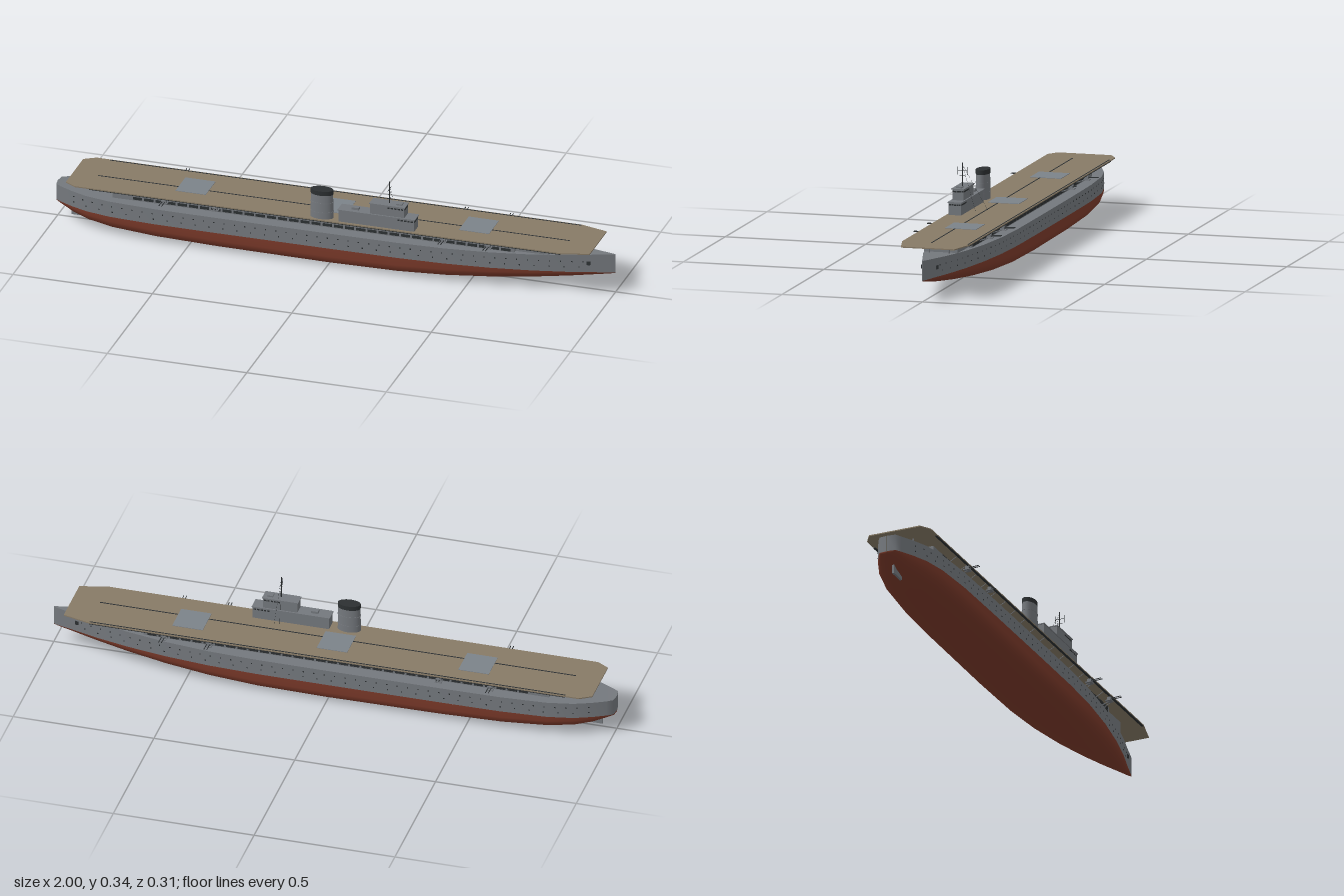
import * as THREE from 'three';

const mat = (name, color, side = THREE.FrontSide) => {
  const m = new THREE.MeshStandardMaterial({ color, side });
  m.name = name;
  return m;
};

export function createModel() {
  const ship = new THREE.Group();
  ship.name = 'aircraftCarrier';
  const grey = mat('hullGrey', 0x74787d);
  const red = mat('bottomRed', 0x7c3a2a);
  const wood = mat('deckWood', 0x877a66);
  const dark = mat('darkMetal', 0x2c3032);
  const steel = mat('liftSteel', 0x7b8289);

  const add = (name, geo, m, x = 0, y = 0, z = 0, parent = ship) => {
    const mesh = new THREE.Mesh(geo, m);
    mesh.name = name;
    mesh.position.set(x, y, z);
    parent.add(mesh);
    return mesh;
  };
  const box = (name, m, x0, x1, y0, y1, z0, z1, parent = ship) =>
    add(name, new THREE.BoxGeometry(x1 - x0, y1 - y0, z1 - z0), m,
      (x0 + x1) / 2, (y0 + y1) / 2, (z0 + z1) / 2, parent);
  // Thin round bar between two points
  const bar = (name, m, a, b, r, parent = ship, sides = 5) => {
    const A = new THREE.Vector3(...a), B = new THREE.Vector3(...b), d = B.clone().sub(A);
    const mesh = add(name, new THREE.CylinderGeometry(r, r, d.length(), sides), m, 0, 0, 0, parent);
    mesh.position.copy(A.add(B).multiplyScalar(0.5));
    mesh.quaternion.setFromUnitVectors(new THREE.Vector3(0, 1, 0), d.normalize());
    return mesh;
  };

  // Surface through rows of points, one row for each hull station
  const loft = (name, rows, m) => {
    const n = rows[0].length, idx = [];
    for (let i = 0; i < rows.length - 1; i++) for (let j = 0; j < n - 1; j++) {
      const a = i * n + j, b = a + 1, c = a + n, d = c + 1;
      idx.push(a, b, d, a, d, c);
    }
    const g = new THREE.BufferGeometry();
    g.setAttribute('position', new THREE.Float32BufferAttribute(rows.flat(2), 3));
    g.setIndex(idx);
    g.computeVertexNormals();
    return add(name, g, m);
  };

  // Hull stations: x, half width, keel height, bilge power, rail height
  const WL = 0.073;
  const stations = [
    [-1, 0.001, 0.069, 1, 0.131], [-0.996, 0.03, 0.065, 1, 0.131], [-0.975, 0.043, 0.054, 1, 0.13],
    [-0.93, 0.066, 0.034, 0.95, 0.13], [-0.87, 0.09, 0.02, 0.85, 0.13], [-0.78, 0.108, 0.01, 0.75, 0.13],
    [-0.62, 0.118, 0.005, 0.62, 0.13], [-0.4, 0.12, 0.002, 0.55, 0.13], [0, 0.12, 0, 0.52, 0.13],
    [0.25, 0.119, 0.002, 0.55, 0.13], [0.42, 0.112, 0.007, 0.65, 0.13], [0.58, 0.096, 0.016, 0.8, 0.131],
    [0.72, 0.073, 0.029, 0.95, 0.133], [0.84, 0.046, 0.044, 1.1, 0.136], [0.93, 0.02, 0.058, 1.2, 0.139],
    [0.98, 0.007, 0.067, 1.2, 0.141], [1, 0.0005, 0.072, 1.2, 0.142],
  ];
  const N = 16;
  loft('hullBottom', stations.map(([x, w, k, p]) => Array.from({ length: N + 1 }, (_, j) => {
    const t = (j / N) * Math.PI, c = Math.cos(t);
    return [x, WL - (WL - k) * Math.pow(Math.sin(t) + 1e-9, p), w * Math.sign(c) * Math.pow(Math.abs(c), p)];
  })), red);
  loft('hullSideNear', stations.map(([x, w, , , t]) => [[x, t, w], [x, WL, w]]), grey);
  loft('hullSideFar', stations.map(([x, w, , , t]) => [[x, WL, -w], [x, t, -w]]), grey);
  loft('mainDeck', stations.map(([x, w, , , t]) => [[x, t, -w], [x, t, w]]), grey);
  box('rudder', grey, -0.95, -0.885, 0.012, 0.052, -0.004, 0.004);

  // Half width of the hull at any x
  const halfWidth = x => {
    const i = Math.max(1, stations.findIndex(s => s[0] >= x));
    const [a, b] = [stations[i - 1], stations[i]];
    return THREE.MathUtils.lerp(a[1], b[1], (x - a[0]) / (b[0] - a[0]));
  };

  // Portholes in two rows
  const port = new THREE.BoxGeometry(0.004, 0.004, 0.002);
  for (const s of [1, -1]) for (const [y, step] of [[0.092, 0.05], [0.112, 0.037]])
    for (let x = -0.92; x < 0.92; x += step) add('porthole', port, dark, x, y, s * halfWidth(x));
  for (const s of [1, -1]) box('anchor', dark, 0.905, 0.917, 0.1, 0.113, s * 0.026 - 0.003, s * 0.026 + 0.003);

  // Hangar with dark bays and sloping deck braces on both sides
  box('hangarMiddle', grey, -0.78, 0.66, 0.125, 0.172, -0.073, 0.073);
  box('hangarFront', grey, 0.66, 0.78, 0.125, 0.172, -0.06, 0.06);
  for (const s of [1, -1]) {
    const side = new THREE.Group();
    side.name = s > 0 ? 'hangarSideNear' : 'hangarSideFar';
    ship.add(side);
    const z0 = s * 0.0745;
    for (let i = 0; i < 34; i++) {
      const x = -0.69 + i * 0.04;
      for (const y of [0.139, 0.153, 0.166])
        box('hangarBay', dark, x - 0.016, x + 0.016, y - 0.0045, y + 0.0045, z0 - 0.0015, z0 + 0.0015, side);
      if (i % 2 === 0) {
        bar('deckBrace', grey, [x + 0.02, 0.15, s * 0.074], [x + 0.02, 0.172, s * 0.113], 0.0015, side);
      }
    }
    box('catwalk', dark, -0.85, 0.84, 0.17, 0.1725, s * 0.116 - 0.004, s * 0.116 + 0.004, side);
  }

  // Flight deck with cut corners
  const outline = [[-0.94, 0.095], [-0.9, 0.12], [0.84, 0.12], [0.937, 0.095]];
  const shape = new THREE.Shape([...outline, ...outline.map(([x, z]) => [x, -z]).reverse()]
    .map(p => new THREE.Vector2(...p)));
  const deckGeo = new THREE.ExtrudeGeometry(shape, { depth: 0.004, bevelEnabled: false });
  deckGeo.rotateX(-Math.PI / 2);
  add('flightDeck', deckGeo, wood, 0, 0.1725, 0);
  for (const z of [-0.114, 0.015])
    box('deckLine', dark, -0.85, 0.84, 0.1764, 0.1772, z - 0.0022, z + 0.0022);
  for (const x of [-0.508, -0.005, 0.508])
    box('aircraftLift', steel, x - 0.054, x + 0.054, 0.176, 0.178, -0.06, 0.05);
  for (const x of [-0.86, 0.8])
    for (const s of [1, -1]) bar('deckPost', grey, [x, 0.13, s * 0.035], [x, 0.173, s * 0.035], 0.003);

  // Anti-aircraft guns beside the deck
  for (const s of [1, -1]) for (const x of [-0.583, -0.4, 0.417, 0.578]) {
    const gun = new THREE.Group();
    gun.name = 'gunMount';
    gun.position.set(x, 0.162, s * 0.113);
    ship.add(gun);
    const long = x !== -0.4;
    box('gunPlatform', grey, -0.012, 0.012, -0.008, -0.005, -0.013, 0.009, gun);
    box('gunShield', grey, -0.009, 0.009, -0.005, 0.006, -0.007, 0.007, gun);
    for (const dx of [-0.005, 0.005])
      bar('gunBarrel', dark, [dx, 0, 0], [dx, 0.002, s * (long ? 0.043 : 0.018)], 0.0015, gun);
    bar('gunBrace', grey, [0, -0.007, 0], [0, -0.02, -s * 0.04], 0.002, gun);
  }

  // Funnel
  const funnel = new THREE.Group();
  funnel.name = 'funnel';
  funnel.position.set(-0.024, 0, 0.089);
  funnel.scale.z = 0.58;
  ship.add(funnel);
  add('funnelBody', new THREE.CylinderGeometry(0.039, 0.041, 0.09, 28), grey, 0, 0.219, 0, funnel);
  add('funnelCap', new THREE.CylinderGeometry(0.04, 0.04, 0.016, 28), dark, 0, 0.272, 0, funnel);
  for (const y of [0.2, 0.235])
    add('funnelBand', new THREE.CylinderGeometry(0.0412, 0.0414, 0.0025, 28), grey, 0, y, 0, funnel);

  // Island: two storeys with roof lips and window rows
  const island = new THREE.Group();
  island.name = 'island';
  ship.add(island);
  const storey = (x0, x1, y0, y1, z0, z1) => {
    box('islandStorey', grey, x0, x1, y0, y1, z0, z1, island);
    box('islandRoof', grey, x0 - 0.003, x1 + 0.003, y1 - 0.003, y1, z0 - 0.003, z1 + 0.003, island);
    const y = y1 - 0.01, n = 5;
    for (let i = 0; i < n; i++) {
      const z = z0 + (i + 0.5) * (z1 - z0) / n;
      box('bridgeWindow', dark, x1 - 0.001, x1 + 0.001, y - 0.0025, y + 0.0025, z - 0.0033, z + 0.0033, island);
    }
    for (const z of [z0, z1]) for (let x = x1 - 0.008; x > x1 - 0.06; x -= 0.012)
      box('sideWindow', dark, x - 0.004, x + 0.004, y - 0.0025, y + 0.0025, z - 0.001, z + 0.001, island);
  };
  storey(0.042, 0.313, 0.175, 0.222, 0.067, 0.111);
  storey(0.155, 0.277, 0.222, 0.262, 0.069, 0.109);
  box('rangefinder', grey, 0.245, 0.265, 0.262, 0.267, 0.079, 0.099, island);
  box('islandDirector', grey, 0.085, 0.11, 0.222, 0.23, 0.08, 0.098, island);

  // Mast, yards and rigging
  const mx = 0.218, mz = 0.09;
  bar('mast', dark, [mx, 0.26, mz], [mx, 0.342, mz], 0.0018, ship, 8);
  for (const [y, h] of [[0.315, 0.018], [0.298, 0.01]])
    bar('yard', dark, [mx, y, mz - h], [mx, y, mz + h], 0.0009);
  for (const [x, z] of [[0.2, 0.004], [0.23, 0.04]])
    bar('rigging', dark, [mx, 0.335, mz], [x, 0.177, z], 0.0004, ship, 3);
  for (const s of [1, -1])
    bar('aerial', dark, [mx, 0.3, mz + s * 0.017], [mx, 0.328, mz + s * 0.017], 0.0005, ship, 3);

  return ship;
}
